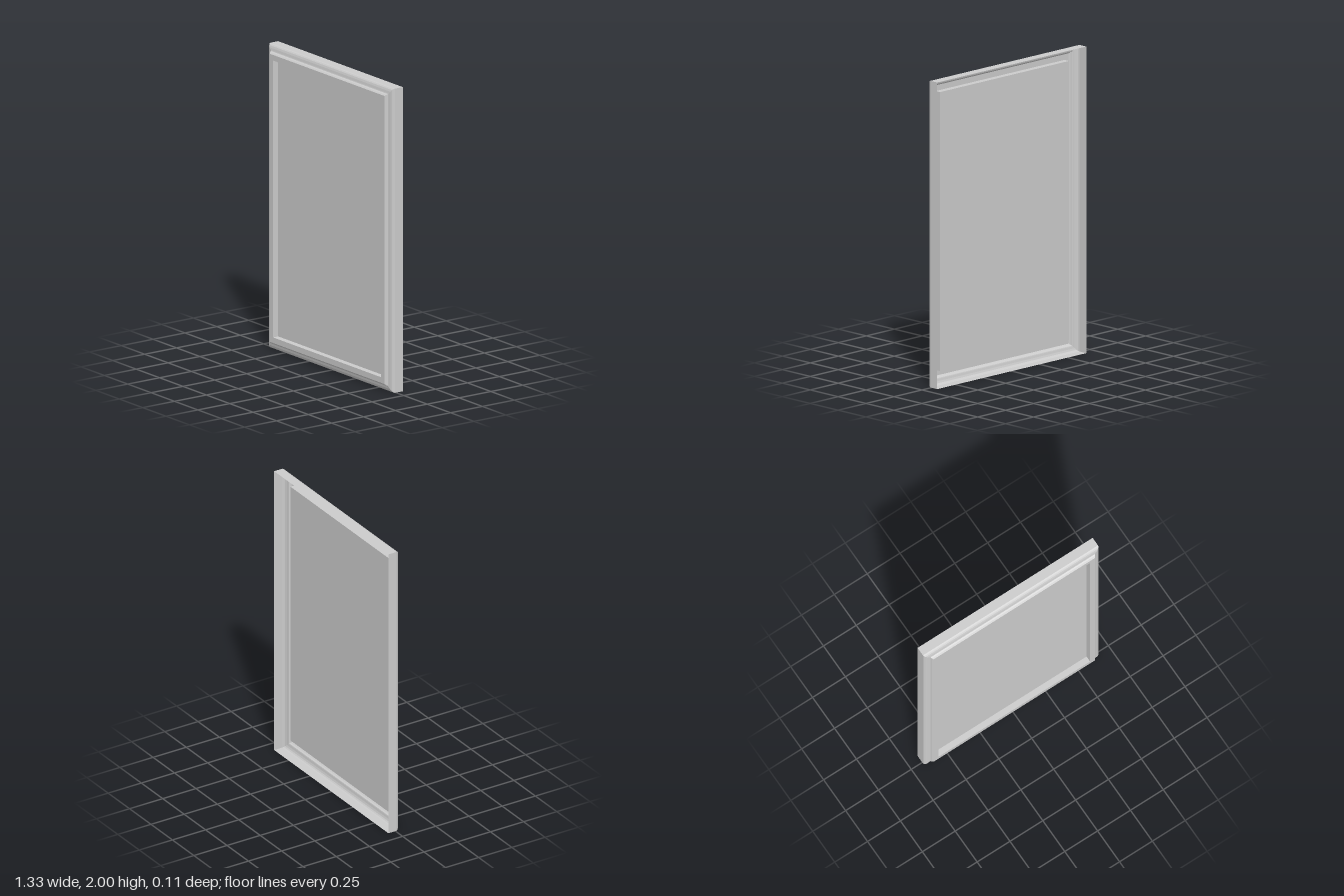
import * as THREE from 'three';

const W = 1.333, H = 2;      // outer size
const PANEL_Z = 0.012;

// Moulding cross-section, open at the back: [inset from outer edge, z]
const PROFILE = [
  [0, -0.053], [0, 0.008], [0.003, 0.017], [0.010, 0.024], [0.022, 0.029],
  [0.036, 0.032], [0.041, 0.034], [0.045, 0.043], [0.053, 0.052],
  [0.090, 0.052], [0.090, PANEL_Z],
];

// Corner of the rectangle at a given inset, counter-clockwise from the front
function corner(i, [inset, z]) {
  const sx = [-1, 1, 1, -1][i % 4], sy = [-1, -1, 1, 1][i % 4];
  return [sx * (W / 2 - inset), H / 2 + sy * (H / 2 - inset), z];
}

// Sweep the profile round the rectangle with mitred corners
function mouldingGeometry() {
  const pos = [];
  for (let p = 0; p < PROFILE.length - 1; p++) {
    for (let i = 0; i < 4; i++) {
      const a = corner(i, PROFILE[p]), b = corner(i + 1, PROFILE[p]);
      const c = corner(i + 1, PROFILE[p + 1]), d = corner(i, PROFILE[p + 1]);
      pos.push(...a, ...b, ...c, ...a, ...c, ...d);
    }
  }
  const geo = new THREE.BufferGeometry();
  geo.setAttribute('position', new THREE.Float32BufferAttribute(pos, 3));
  geo.computeVertexNormals();
  return geo;
}

export function createModel() {
  const group = new THREE.Group();
  group.name = 'framedPanel';
  const material = new THREE.MeshStandardMaterial({
    color: 0xcccccc, flatShading: true, side: THREE.DoubleSide,
  });

  // Stepped frame shell
  const frame = new THREE.Mesh(mouldingGeometry(), material);
  frame.name = 'frameMoulding';
  group.add(frame);

  // Recessed flat panel
  const inset = PROFILE[PROFILE.length - 1][0];
  const panel = new THREE.Mesh(new THREE.PlaneGeometry(W - 2 * inset, H - 2 * inset), material);
  panel.name = 'panel';
  panel.position.set(0, H / 2, PANEL_Z);
  group.add(panel);

  return group;
}
